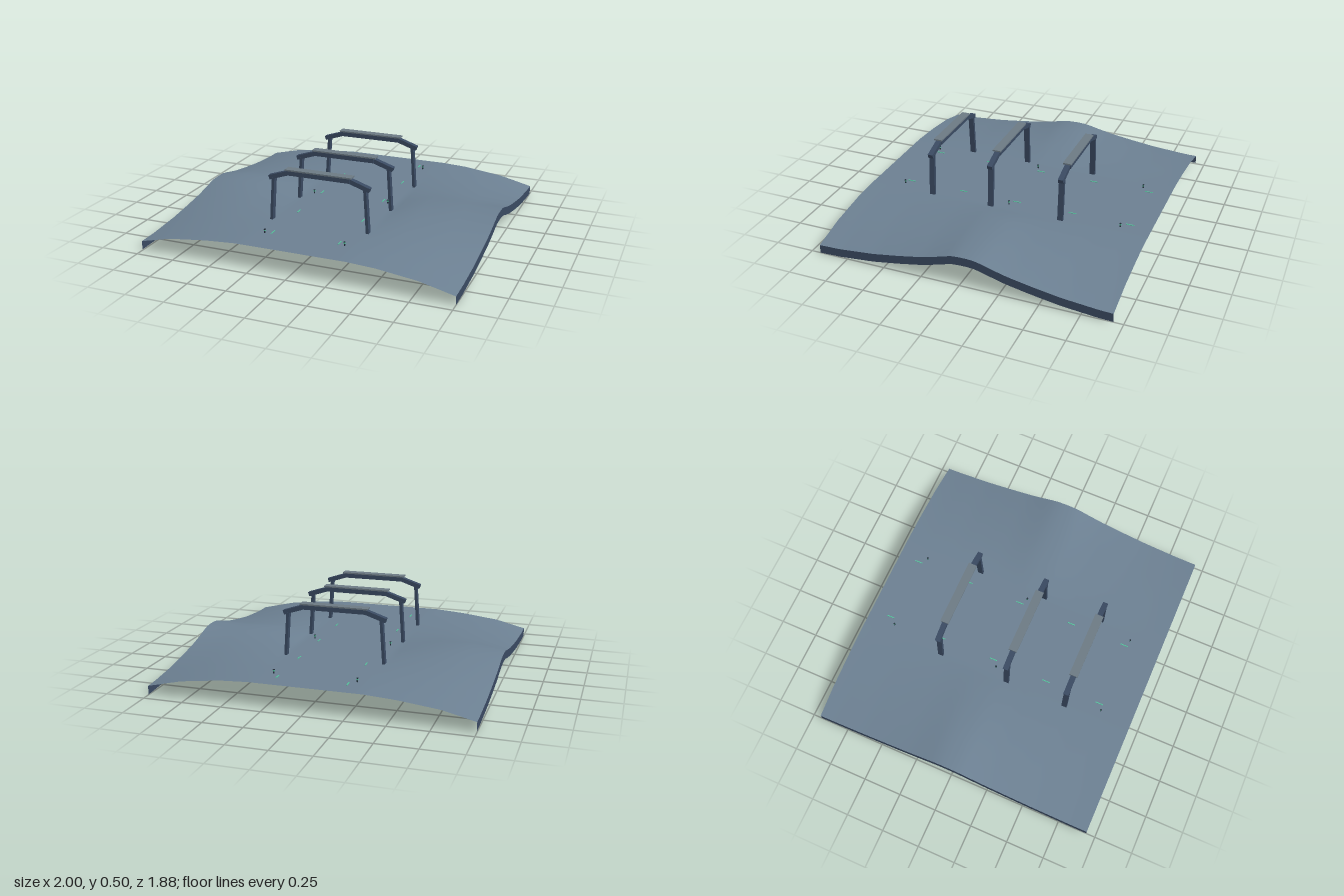
import * as THREE from 'three';

const mat = (name, color, double = false) => {
  const m = new THREE.MeshStandardMaterial({ color });
  m.name = name;
  if (double) m.side = THREE.DoubleSide;
  return m;
};

// Column positions with heights at the ends of the land and at its crest
const COLUMNS = [
  [-1, 0.06, 0.17], [-0.8, 0.108, 0.196], [-0.55, 0.137, 0.186], [-0.35, 0.15, 0.15],
  [-0.3, 0.15, 0.15], [0.3, 0.15, 0.15],
  [0.35, 0.15, 0.15], [0.53, 0.14, 0.195], [0.78, 0.108, 0.19], [1, 0.055, 0.2],
];
const HALF = 0.94, ROWS = 40, CREST = -0.03;

// Ridge strength by distance from the crest
const RIDGE = [[0, 1], [0.08, 0.96], [0.17, 0.77], [0.27, 0.58], [0.43, 0.37], [0.6, 0.18], [0.83, 0.03], [0.97, 0]];
function ridge(z) {
  const d = Math.min(Math.abs(z - CREST), 0.97);
  let i = 0;
  while (i < RIDGE.length - 2 && d > RIDGE[i + 1][0]) i++;
  const [a, p] = RIDGE[i], [b, q] = RIDGE[i + 1];
  return p + (q - p) * (d - a) / (b - a);
}
const rowZ = j => -HALF + (2 * HALF * j) / ROWS;
const height = (col, z) => col[1] + (col[2] - col[1]) * ridge(z);

// Grid surface from a point rule, u across and v along
function grid(nu, nv, point) {
  const pos = [], index = [];
  for (let j = 0; j <= nv; j++) for (let i = 0; i <= nu; i++) pos.push(...point(i, j));
  for (let j = 0; j < nv; j++) for (let i = 0; i < nu; i++) {
    const a = j * (nu + 1) + i, b = a + 1, c = a + nu + 1, d = c + 1;
    index.push(a, c, b, b, c, d);
  }
  const g = new THREE.BufferGeometry();
  g.setAttribute('position', new THREE.Float32BufferAttribute(pos, 3));
  g.setIndex(index);
  g.computeVertexNormals();
  return g;
}

export function createModel() {
  const model = new THREE.Group();
  model.name = 'landscapeSection';
  const ground = mat('slate ground', 0x6c8092, true);
  const navy = mat('navy metal', 0x3a4a62);
  const edge = mat('navy edge', 0x3a4a62, true);
  const panel = mat('grey panel', 0x6c7a84);
  const dark = mat('dark post', 0x28333f);
  const green = mat('green light', 0x55c39c);

  const add = (parent, name, geo, material, x = 0, y = 0, z = 0) => {
    const m = new THREE.Mesh(geo, material);
    m.name = name;
    m.position.set(x, y, z);
    parent.add(m);
    return m;
  };
  const box = (w, h, d) => new THREE.BoxGeometry(w, h, d);

  // Rolling land with a level strip through the middle
  add(model, 'terrain', grid(COLUMNS.length - 1, ROWS, (i, j) =>
    [COLUMNS[i][0], height(COLUMNS[i], rowZ(j)), rowZ(j)]), ground);

  // Hanging edge walls on both sides
  for (const s of [-1, 1]) {
    const col = s < 0 ? COLUMNS[0] : COLUMNS[COLUMNS.length - 1];
    add(model, s < 0 ? 'rightEdgeWall' : 'leftEdgeWall', grid(1, ROWS, (i, j) => {
      const low = s > 0 ? i === 0 : i === 1;
      return [s, height(col, rowZ(j)) - (low ? 0.055 : 0), rowZ(j)];
    }), edge);
  }

  // Bar between two points in the front plane
  const bar = (parent, name, [x1, y1], [x2, y2], thick, depth) => {
    const m = add(parent, name, box(Math.hypot(x2 - x1, y2 - y1), thick, depth), navy,
      (x1 + x2) / 2, (y1 + y2) / 2);
    m.rotation.z = Math.atan2(y2 - y1, x2 - x1);
  };

  // Gantry arches
  for (const z of [0.5, 0.09, -0.38]) {
    const arch = new THREE.Group();
    arch.name = 'arch';
    arch.position.z = z;
    add(arch, 'archBeam', box(0.41, 0.03, 0.042), navy, 0, 0.471);
    add(arch, 'archTopPanel', box(0.436, 0.009, 0.055), panel, 0, 0.4905);
    for (const s of [-1, 1]) {
      bar(arch, 'archShoulder', [s * 0.195, 0.471], [s * 0.33, 0.426], 0.028, 0.034);
      bar(arch, 'archLeg', [s * 0.301, 0.43], [s * 0.321, 0.136], 0.018, 0.036);
    }
    model.add(arch);
  }

  for (const s of [-1, 1]) {
    // Dashed lane lights
    for (let k = 0; k < 5; k++)
      add(model, 'laneLight', box(0.006, 0.003, 0.052), green, s * 0.218, 0.1515, -0.8 + k * 0.376);
    // Marker posts with a small lamp
    for (const z of [0.73, -0.01, -0.75]) {
      add(model, 'markerPost', box(0.007, 0.04, 0.007), dark, s * 0.26, 0.155, z);
      add(model, 'markerLamp', box(0.009, 0.009, 0.008), green, s * 0.26, 0.167, z);
      add(model, 'markerCap', box(0.01, 0.004, 0.01), dark, s * 0.26, 0.1735, z);
    }
  }
  return model;
}
